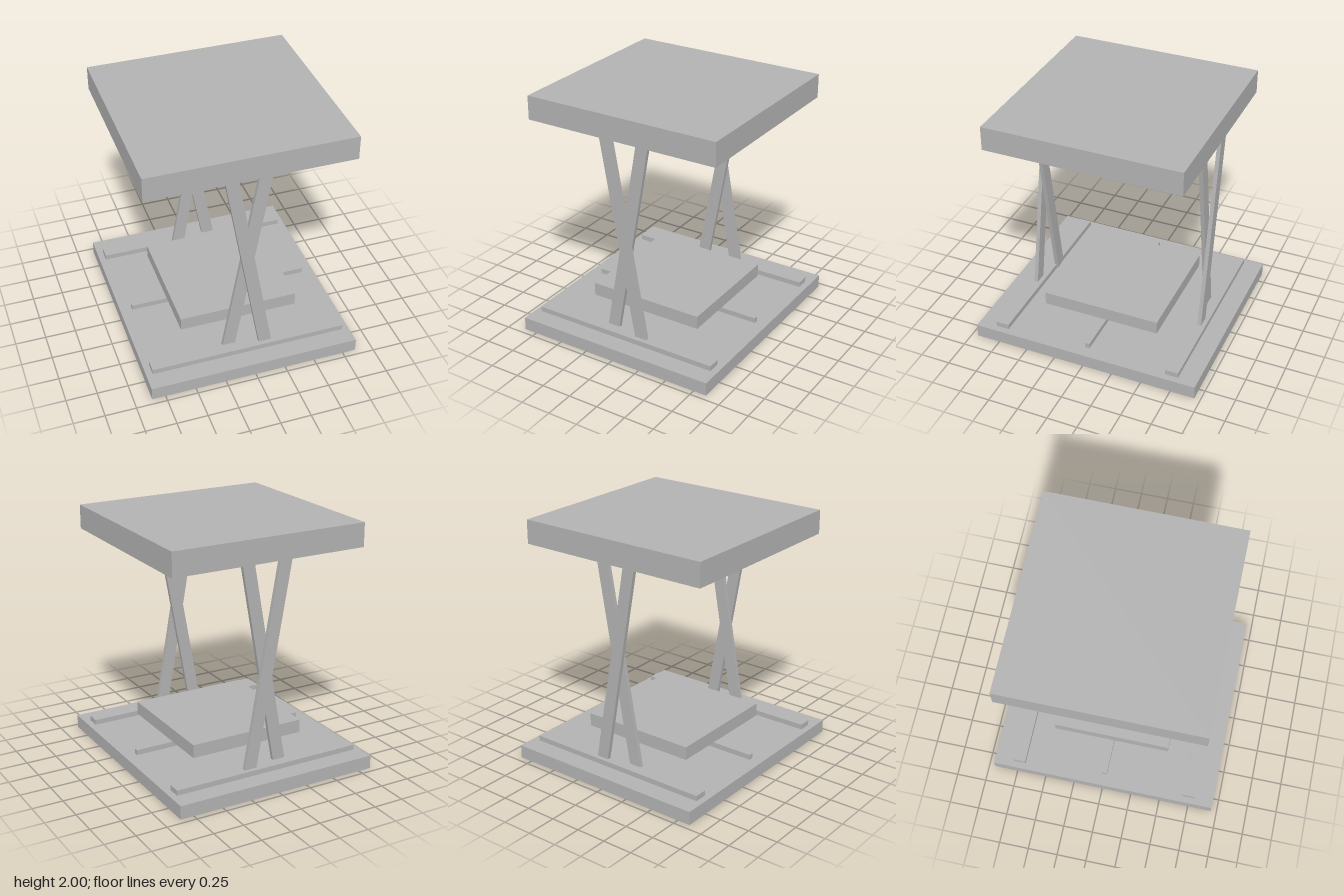
import * as THREE from 'three';

export function createModel() {
  const model = new THREE.Group();
  model.name = 'crossLegStand';
  const grey = new THREE.MeshStandardMaterial({ color: 0xb2b2b2 });
  grey.name = 'plain grey';

  // box given by its min and max on each axis
  function box(name, [x0, x1], [y0, y1], [z0, z1]) {
    const mesh = new THREE.Mesh(new THREE.BoxGeometry(x1 - x0, y1 - y0, z1 - z0), grey);
    mesh.position.set((x0 + x1) / 2, (y0 + y1) / 2, (z0 + z1) / 2);
    mesh.name = name;
    model.add(mesh);
    return mesh;
  }

  // large slabs
  box('base', [-0.86, 0.86], [0, 0.11], [-0.95, 0.95]);
  box('topSlab', [-0.823, 0.823], [1.805, 2], [-0.792, 0.796]);
  box('floatingPlate', [-0.48, 0.502], [0.22, 0.33], [-0.49, 0.494]);
  box('hangingBlock', [-0.13, 0.13], [1.612, 1.805], [-0.14, 0.143]);

  // rails on the base
  box('frontRail', [-0.807, 0.805], [0.11, 0.153], [0.688, 0.796]);
  box('backRail', [-0.807, 0.805], [0.11, 0.153], [-0.792, -0.684]);
  box('middleRail', [-0.76, 0.76], [0.11, 0.153], [-0.017, 0.021]);

  // crossed legs: the outer one leans left, the inner one right
  const tilt = 0.176;
  for (const [side, name] of [[1, 'front'], [-1, 'back']]) {
    for (const [layer, z, lean] of [['Outer', 0.741, 1], ['Inner', 0.689, -1]]) {
      const leg = box(name + layer + 'Leg', [-0.0515, 0.0515], [0.115, 1.815],
        [side * z - 0.016, side * z + 0.016]);
      leg.rotation.z = lean * tilt;
    }
  }
  return model;
}
